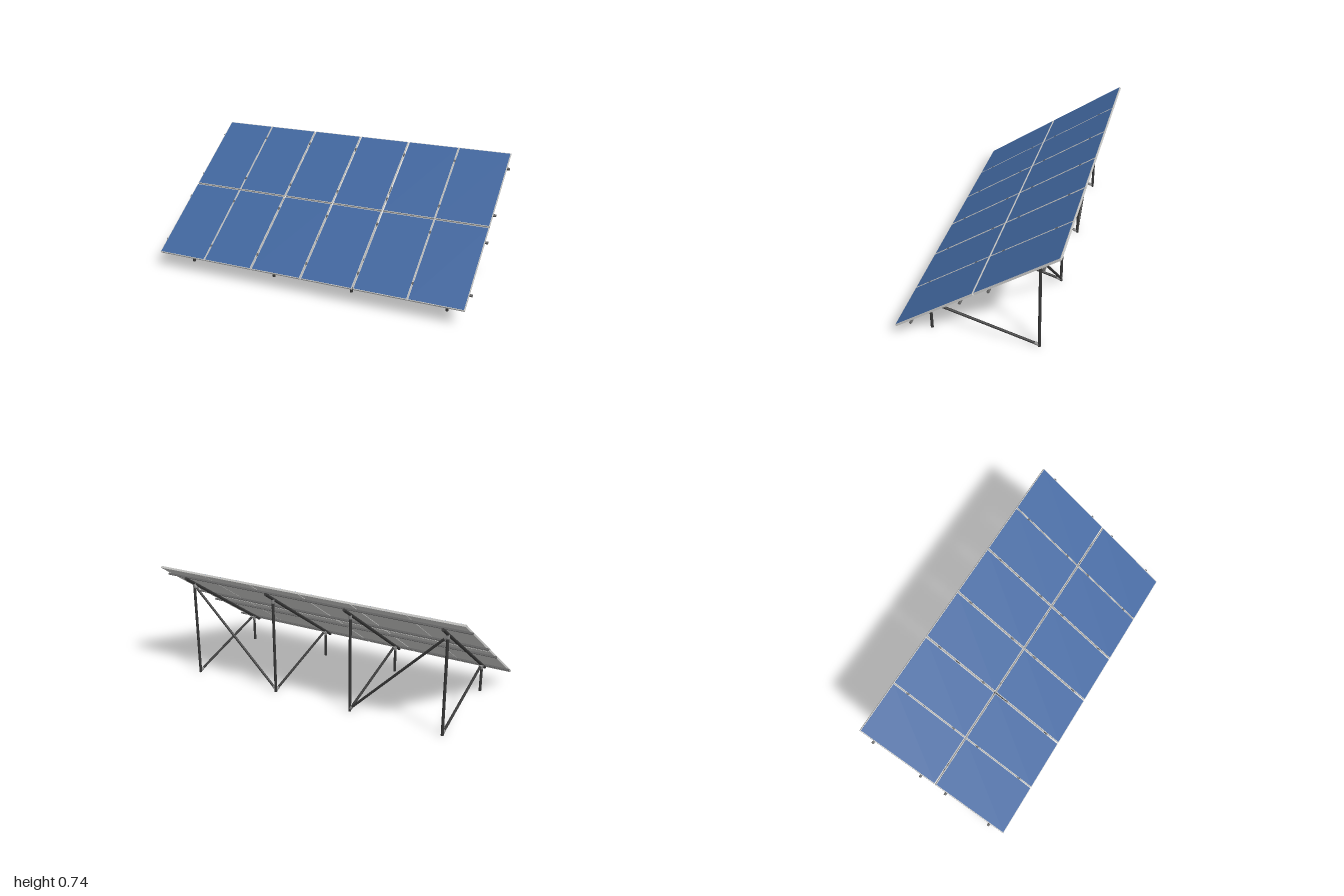
import * as THREE from 'three';

export function createModel() {
  const model = new THREE.Group();
  model.name = 'solarArray';

  const material = (name, color) => {
    const m = new THREE.MeshStandardMaterial({ color });
    m.name = name;
    return m;
  };
  const glass = material('blue cells', 0x41669e);
  const aluminium = material('light aluminium', 0xc6c6c4);
  const railGrey = material('rail grey', 0x666666);
  const steel = material('dark steel', 0x363636);
  const joint = material('joint grey', 0x858585);

  const box = (parent, name, size, pos, mat) => {
    const mesh = new THREE.Mesh(new THREE.BoxGeometry(...size), mat);
    mesh.name = name;
    mesh.position.set(...pos);
    parent.add(mesh);
  };

  const up = new THREE.Vector3(0, 1, 0);
  const place = (mesh, a, b) => {
    mesh.position.copy(a).add(b).multiplyScalar(0.5);
    mesh.quaternion.setFromUnitVectors(up, b.clone().sub(a).normalize());
  };

  // Round tube between two points
  const tube = (parent, name, a, b, radius) => {
    const mesh = new THREE.Mesh(new THREE.CylinderGeometry(radius, radius, a.distanceTo(b), 16), steel);
    mesh.name = name;
    place(mesh, a, b);
    parent.add(mesh);
  };

  // Rounded end fitting, running from a towards b
  const fitting = (parent, name, a, b, length = 0.026) => {
    const end = a.clone().add(b.clone().sub(a).setLength(length));
    const mesh = new THREE.Mesh(new THREE.CapsuleGeometry(0.0098, length, 4, 12), joint);
    mesh.name = name;
    place(mesh, a, end);
    parent.add(mesh);
  };

  // Tilted deck: local y is the panel normal, local z runs down the slope
  const deck = new THREE.Group();
  deck.name = 'tiltedDeck';
  deck.position.y = 0.418;
  deck.rotation.x = THREE.MathUtils.degToRad(34.9);
  model.add(deck);

  const width = 0.323, depth = 0.553, thick = 0.012, rim = 0.004;
  for (const side of [-1, 1]) {
    for (const x of [0.1655, 0.4965, 0.8235]) {
      for (const row of [-1, 1]) {
        const panel = new THREE.Group();
        panel.name = 'solarPanel';
        panel.position.set(side * x, 0, row * (depth / 2 + 0.004));
        box(panel, 'panelFrame', [width, thick, depth], [0, 0, 0], aluminium);
        box(panel, 'panelGlass', [width - 2 * rim, 0.001, depth - 2 * rim], [0, thick / 2 + 0.0004, 0], glass);
        deck.add(panel);
      }
    }
  }

  // Cross rails with a clamp in every gap between panels
  for (const z of [-0.449, -0.097, 0.097, 0.449]) {
    box(deck, 'crossRail', [2, 0.011, 0.012], [0, -0.0115, z], railGrey);
    for (const x of [-0.66, -0.331, 0, 0.331, 0.66]) {
      box(deck, 'panelClamp', [0.011, 0.016, 0.014], [x, 0, z], railGrey);
    }
  }

  // Four support trestles
  const r = 0.0085;
  for (const x of [-0.845, -0.26, 0.26, 0.845]) {
    const trestle = new THREE.Group();
    trestle.name = 'trestle';
    trestle.position.x = x;
    model.add(trestle);
    const p = (y, z) => new THREE.Vector3(0, y, z);
    const frontTop = p(0.174, 0.3), frontFoot = p(0, 0.3);
    const rearTop = p(0.61, -0.325), rearFoot = p(0, -0.325);
    const braceTop = p(0.181, 0.283), braceFoot = p(0.013, -0.318);

    tube(trestle, 'slopedBeam', p(0.135, 0.362), p(0.667, -0.402), 0.0092);
    tube(trestle, 'frontLeg', frontFoot, frontTop, r);
    tube(trestle, 'rearLeg', rearFoot, rearTop, r);
    tube(trestle, 'lowerBrace', braceTop, braceFoot, 0.0078);
    fitting(trestle, 'frontLegFitting', frontTop, frontFoot, 0.02);
    fitting(trestle, 'rearLegFitting', rearTop, rearFoot, 0.02);
    fitting(trestle, 'braceTopFitting', braceTop, braceFoot, 0.012);
    fitting(trestle, 'braceFootFitting', braceFoot, braceTop, 0.016);
  }

  // Diagonals in the rear plane, from inner foot to outer top
  for (const side of [-1, 1]) {
    const foot = new THREE.Vector3(side * 0.265, 0.022, -0.325);
    const top = new THREE.Vector3(side * 0.84, 0.596, -0.325);
    tube(model, 'rearDiagonal', foot, top, 0.0075);
    fitting(model, 'diagonalFootFitting', foot, top, 0.012);
    fitting(model, 'diagonalTopFitting', top, foot, 0.012);
  }

  return model;
}
